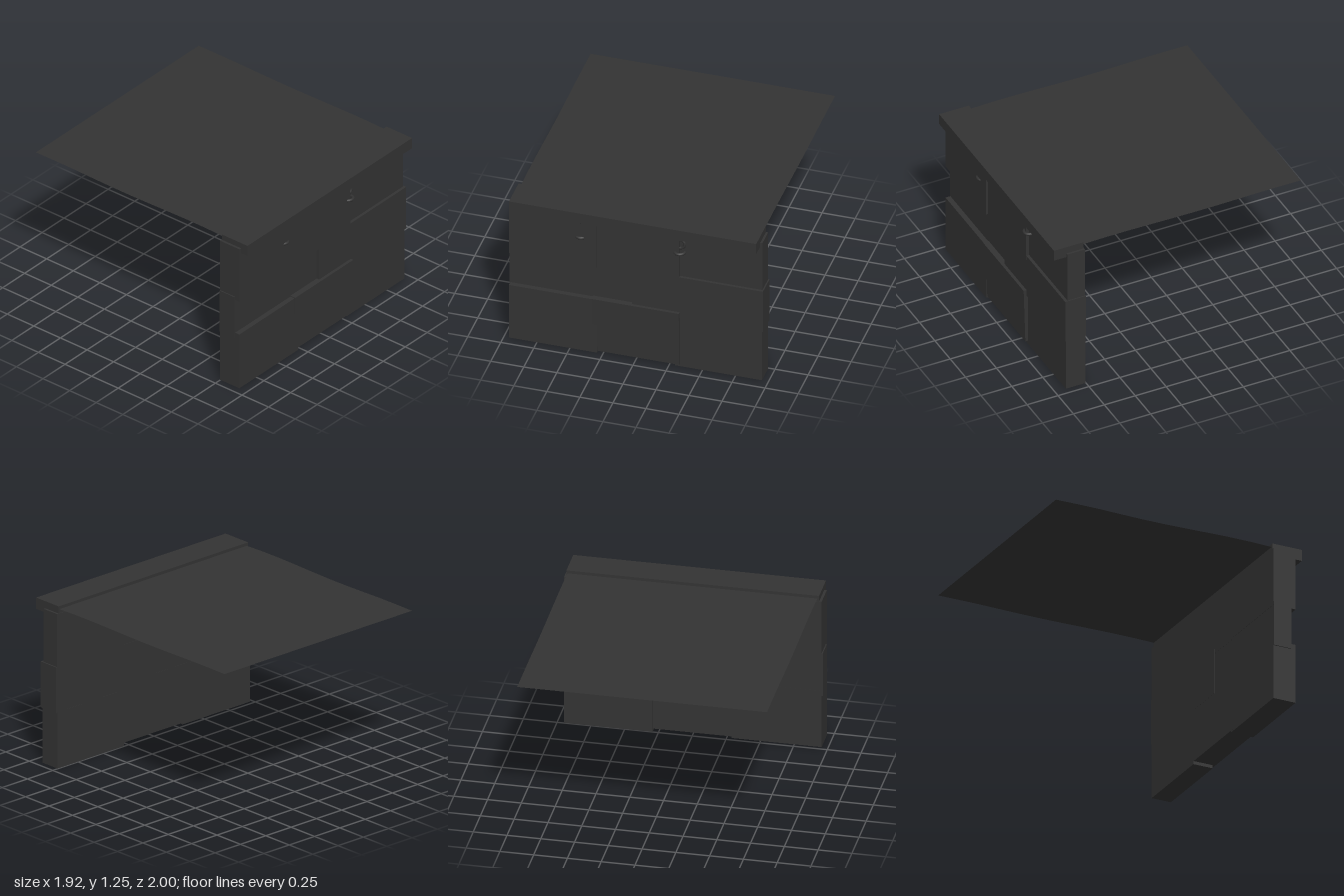
import * as THREE from 'three';

export function createModel() {
  const model = new THREE.Group();
  const stone = new THREE.MeshStandardMaterial({ color: 0x333333 });
  stone.name = 'charcoal';
  const sheetMaterial = new THREE.MeshStandardMaterial({ color: 0x333333, side: THREE.DoubleSide });
  sheetMaterial.name = 'charcoal sheet';

  function add(name, geometry, material = stone) {
    const mesh = new THREE.Mesh(geometry, material);
    mesh.name = name;
    model.add(mesh);
    return mesh;
  }

  // Block given by its edges; the front face may lean between bottom and top
  function block(name, x0, x1, y0, y1, back, frontBottom, frontTop = frontBottom) {
    const geometry = new THREE.BoxGeometry(x1 - x0, y1 - y0, 1);
    geometry.translate((x0 + x1) / 2, (y0 + y1) / 2, 0);
    const p = geometry.attributes.position;
    for (let i = 0; i < p.count; i++) {
      const front = p.getY(i) > (y0 + y1) / 2 ? frontTop : frontBottom;
      p.setZ(i, p.getZ(i) > 0 ? front : back);
    }
    geometry.computeVertexNormals();
    return add(name, geometry);
  }

  // Wall of overlapping stone blocks
  block('bottomRightBlock', -0.957, -0.29, 0.012, 0.475, 0.758, 0.939);
  block('bottomMiddleBlock', -0.33, 0.33, 0.025, 0.482, 0.757, 0.932, 0.946);
  block('bottomLeftBlock', 0.293, 0.95, 0, 0.437, 0.755, 0.912);
  block('middleRightBlock', -0.965, -0.02, 0.435, 0.785, 0.759, 0.9);
  block('middleLeftBlock', -0.03, 0.96, 0.432, 0.788, 0.756, 0.922);
  block('topRightBlock', -0.957, -0.293, 0.758, 1.21, 0.757, 0.94);
  block('topMiddleBlock', -0.33, 0.325, 0.748, 1.21, 0.758, 0.924);
  block('topLeftBlock', 0.29, 0.95, 0.78, 1.2, 0.756, 0.9);

  // Overhanging coping along the top
  block('coping', -0.938, 0.933, 1.167, 1.255, 0.76, 1);

  // Two half-buried chains of alternating links
  for (const [side, x, z] of [['right', -0.42, 0.907], ['left', 0.325, 0.9]]) {
    for (const y of [1.14, 1.0]) {
      const link = add(side + 'FlatLink', new THREE.TorusGeometry(0.037, 0.012, 8, 20));
      link.rotation.x = Math.PI / 2;
      link.position.set(x, y, z);
    }
    const upright = add(side + 'UprightLink', new THREE.TorusGeometry(0.037, 0.011, 8, 20));
    upright.position.set(x, 1.07, z);
  }

  // Thin, slightly uneven ground sheet behind the wall
  const sheet = new THREE.PlaneGeometry(1.85, 1.76, 10, 10);
  sheet.rotateX(-Math.PI / 2);
  sheet.translate(0, 1.232, -0.12);
  const p = sheet.attributes.position;
  for (let i = 0; i < p.count; i++) {
    const x = p.getX(i), z = p.getZ(i);
    const fade = Math.min(1, (z + 1) * 2, (0.76 - z) * 5);
    p.setY(i, p.getY(i) + fade * 0.006 * Math.sin(3.1 * x + 1) * Math.cos(4.3 * z + 0.9));
  }
  sheet.computeVertexNormals();
  add('groundSheet', sheet, sheetMaterial);

  return model;
}
